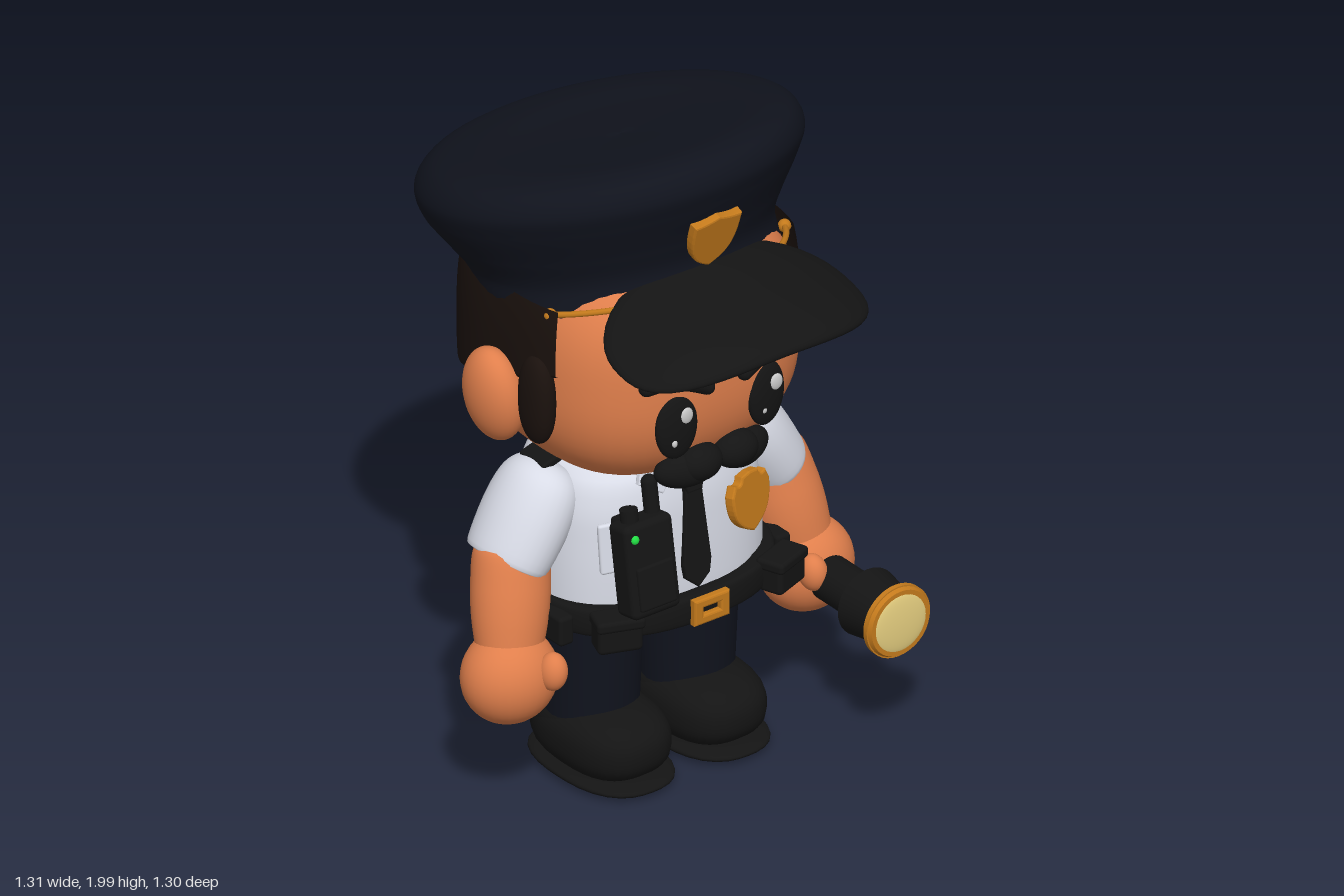
import * as THREE from 'three';
import { mergeVertices } from 'three/addons/utils/BufferGeometryUtils.js';
import { RoundedBoxGeometry } from 'three/addons/geometries/RoundedBoxGeometry.js';
import { ParametricGeometry } from 'three/addons/geometries/ParametricGeometry.js';

const mat = (color, side = THREE.FrontSide) => new THREE.MeshStandardMaterial({ color, side });
const skin = mat(0xe07f4c), white = mat(0xd8dbe6), black = mat(0x141414), navy = mat(0x10131d);
const gold = mat(0xc47a1c), lensMat = mat(0xe6cf80), green = mat(0x22dd44), shine = mat(0xe8e8e8);
const capMat = mat(0x10131d, THREE.DoubleSide), hairMat = mat(0x1a110d, THREE.DoubleSide);
const V = (x, y, z) => new THREE.Vector3(x, y, z);

// Move every vertex by a rule, then smooth the normals across the seam
function reshape(geo, rule) {
  geo.deleteAttribute('uv');
  geo.deleteAttribute('normal');
  const p = geo.attributes.position, v = new THREE.Vector3();
  for (let i = 0; i < p.count; i++) {
    rule(v.fromBufferAttribute(p, i));
    p.setXYZ(i, v.x, v.y, v.z);
  }
  const out = mergeVertices(geo, 1e-5);
  out.computeVertexNormals();
  return out;
}

// Rounded box-like ball; n = 2 is an ellipsoid
function blob(rx, ry, rz, n = 2, seg = 32) {
  return reshape(new THREE.SphereGeometry(1, seg, Math.round(seg * 0.7)), v => {
    const k = (Math.abs(v.x) ** n + Math.abs(v.y) ** n + Math.abs(v.z) ** n) ** (-1 / n);
    v.multiplyScalar(k).multiply(V(rx, ry, rz));
  });
}

// Lathe with a squarish outline
function squareLathe(points, sx, sz, n) {
  const curve = new THREE.SplineCurve(points.map(p => new THREE.Vector2(...p)));
  return reshape(new THREE.LatheGeometry(curve.getPoints(24), 56), v => {
    const r = Math.hypot(v.x, v.z) || 1;
    const k = (Math.abs(v.x / r) ** n + Math.abs(v.z / r) ** n) ** (-1 / n);
    v.x *= k * sx;
    v.z *= k * sz;
  });
}

// Turned part whose axis starts at a and points to b
function limb(profile, a, b, zScale, material) {
  const curve = new THREE.SplineCurve(profile.map(p => new THREE.Vector2(...p)));
  const m = new THREE.Mesh(new THREE.LatheGeometry(curve.getPoints(24), 32), material);
  m.position.copy(a);
  m.quaternion.setFromUnitVectors(V(0, 1, 0), b.clone().sub(a).normalize());
  m.scale.z = zScale;
  return m;
}

function extrude(shape, depth, bevel = 0.006) {
  return new THREE.ExtrudeGeometry(shape, { depth, bevelEnabled: true, bevelSize: bevel, bevelThickness: bevel, bevelSegments: 2, curveSegments: 10 });
}

// Shield outline; scallop cuts rounded notches into the upper corners
function shield(w, h, scallop) {
  const s = new THREE.Shape();
  s.moveTo(0, h);
  if (scallop) {
    s.lineTo(w * 0.4, h * 0.95).quadraticCurveTo(w * 0.5, h * 0.6, w * 0.85, h * 0.75);
    s.lineTo(w, h * 0.45);
  } else s.quadraticCurveTo(w * 0.5, h * 0.85, w, h * 0.85);
  s.bezierCurveTo(w, -h * 0.4, w * 0.7, -h * 0.7, 0, -h);
  s.bezierCurveTo(-w * 0.7, -h * 0.7, -w, -h * 0.4, -w, h * (scallop ? 0.45 : 0.85));
  if (scallop) {
    s.lineTo(-w * 0.85, h * 0.75).quadraticCurveTo(-w * 0.5, h * 0.6, -w * 0.4, h * 0.95);
    s.lineTo(0, h);
  } else s.quadraticCurveTo(-w * 0.5, h * 0.85, 0, h);
  return s;
}
const polygon = pts => new THREE.Shape(pts.map(p => new THREE.Vector2(...p)));

// Front surface of the head
const HEAD = { y: 1.33, z: -0.03, rx: 0.43, ry: 0.385, rz: 0.4, n: 2.6 };
const faceZ = (x, y) => HEAD.z + HEAD.rz *
  Math.max(0, 1 - Math.abs(x / HEAD.rx) ** HEAD.n - Math.abs((y - HEAD.y) / HEAD.ry) ** HEAD.n) ** (1 / HEAD.n);

export function createModel() {
  const root = new THREE.Group();
  const place = (name, m, x, y, z) => {
    m.name = name;
    if (x !== undefined) m.position.set(x, y, z);
    root.add(m);
    return m;
  };
  const add = (name, geo, material, x = 0, y = 0, z = 0) => place(name, new THREE.Mesh(geo, material), x, y, z);

  // Head and hair
  add('head', blob(HEAD.rx, HEAD.ry, HEAD.rz, HEAD.n, 56), skin, 0, HEAD.y, HEAD.z);
  add('hair', new ParametricGeometry((u, v, t) => {
    const a = (u - 0.5) * 4.05, s = Math.sin(a), c = Math.cos(a);
    const sq = (Math.abs(s) ** 2.5 + Math.abs(c) ** 2.5) ** (-1 / 2.5);
    const low = 1.07 + (0.4 - 0.05 - 0.45 * c * sq) * 0.42 + 0.04;
    const y = low + (1.57 - low) * v;
    const k = (1 - Math.abs((y - HEAD.y) / 0.5) ** 3) ** (1 / 3);
    const tuck = 1 - 0.22 * (1 - Math.min(1, v / 0.16)) ** 2;
    t.set(-0.45 * s * sq * k * tuck, y, -0.05 - 0.45 * c * sq * k * tuck);
  }, 56, 30), hairMat);

  // Face
  for (const s of [-1, 1]) {
    const ear = add('ear', blob(0.075, 0.145, 0.105), skin, s * 0.465, 1.24, -0.065);
    ear.rotation.z = -s * 0.12;
    add('sideburn', blob(0.04, 0.135, 0.065, 2.3), hairMat, s * 0.435, 1.28, 0.09);
    const x = s * 0.155, z = faceZ(x, 1.215);
    add('eye', blob(0.066, 0.1, 0.025), black, x, 1.215, z).rotation.y = s * 0.12;
    add('eyeHighlight', blob(0.021, 0.025, 0.008, 2, 16), shine, x + 0.02, 1.252, z + 0.022);
    add('eyeGlint', blob(0.009, 0.011, 0.006, 2, 12), shine, x - 0.02, 1.175, z + 0.02);
    const brow = [[0.065, 1.32], [0.12, 1.347], [0.18, 1.367], [0.245, 1.358]].map(([bx, by]) => V(s * bx, by, faceZ(bx, by) + 0.005));
    add('eyebrow', new THREE.TubeGeometry(new THREE.CatmullRomCurve3(brow), 20, 0.023, 10), black);
    for (const e of [brow[0], brow[3]]) add('eyebrowEnd', blob(0.023, 0.023, 0.023, 2, 14), black, e.x, e.y, e.z);
    add('moustacheLobe', blob(0.07, 0.055, 0.055), black, s * 0.062, 1.065, 0.335);
    add('moustacheTip', blob(0.09, 0.053, 0.045), black, s * 0.105, 1.05, 0.325).rotation.y = s * 0.3;
  }

  // Cap crown: rings given as front z, front y, back z, back y, half width
  const rings = [[0.33, 1.55, -0.49, 1.48, 0.44], [0.285, 1.65, -0.5, 1.5, 0.448], [0.3, 1.74, -0.56, 1.55, 0.49],
    [0.34, 1.86, -0.635, 1.605, 0.54], [0.355, 1.925, -0.655, 1.67, 0.555], [0.335, 1.975, -0.62, 1.735, 0.525],
    [0.27, 1.993, -0.5, 1.79, 0.43], [0.12, 1.955, -0.32, 1.83, 0.26], [-0.099, 1.885, -0.101, 1.885, 0.001]];
  const front = new THREE.CatmullRomCurve3(rings.map(r => V(r[4], r[1], r[0])));
  const back = new THREE.CatmullRomCurve3(rings.map(r => V(r[4], r[3], r[2])));
  add('capCrown', new ParametricGeometry((u, v, t) => {
    const a = u * Math.PI * 2, f = front.getPoint(v), b = back.getPoint(v), w = (1 + Math.cos(a)) / 2;
    t.set(f.x * Math.sin(a), b.y + (f.y - b.y) * w, b.z + (f.z - b.z) * w);
  }, 64, 40), capMat);

  // Visor, drooping at the sides and toward the tip
  add('capVisor', reshape(blob(0.405, 0.04, 0.23, 2.4, 48), v => { v.y -= 0.24 * v.z + 0.5 * v.x * v.x; }), black, 0, 1.58, 0.42);

  // Cap strap, buttons and shield
  const strap = [];
  for (let i = 0; i <= 16; i++) {
    const a = (i / 8 - 1) * 1.1;
    strap.push(V(0.455 * Math.sin(a), 1.545 + 0.11 * (Math.cos(a) - 0.45), -0.08 + 0.42 * Math.cos(a)));
  }
  add('capStrap', new THREE.TubeGeometry(new THREE.CatmullRomCurve3(strap), 40, 0.009, 8), gold);
  for (const e of [strap[0], strap[16]]) add('strapButton', blob(0.019, 0.019, 0.019, 2, 16), gold, e.x, e.y, e.z);
  add('capShield', extrude(shield(0.075, 0.085, false), 0.02), gold, 0, 1.74, 0.298).rotation.x = 0.29;

  // Shirt, hips and belt
  add('shirt', squareLathe([[0.9, 0.5], [0.99, 0.56], [1, 0.65], [0.98, 0.78], [0.93, 0.9], [0.78, 0.985], [0.3, 1.02]], 0.355, 0.265, 2.6), white, 0, 0, -0.03);
  add('hips', blob(0.335, 0.1, 0.27, 2.7), navy, 0, 0.55, -0.02);
  add('belt', squareLathe([[0.86, 0.525], [0.97, 0.525], [1, 0.545], [1, 0.59], [0.97, 0.61], [0.86, 0.61]], 0.375, 0.305, 2.4), black, 0, 0, -0.008);
  const buckle = polygon([[-0.055, -0.033], [0.055, -0.033], [0.055, 0.033], [-0.055, 0.033]]);
  buckle.holes.push(polygon([[-0.036, -0.018], [-0.036, 0.018], [0.036, 0.018], [0.036, -0.018]]));
  add('buckle', extrude(buckle, 0.015), gold, 0, 0.568, 0.295);
  for (const s of [-1, 1]) {
    add('pouch', new RoundedBoxGeometry(0.13, 0.095, 0.08, 3, 0.015), black, s * 0.285, 0.565, 0.255).rotation.y = s * 0.35;
    add('pouchFlap', new RoundedBoxGeometry(0.14, 0.035, 0.09, 3, 0.012), black, s * 0.285, 0.605, 0.257).rotation.y = s * 0.35;
    add('sidePouch', new RoundedBoxGeometry(0.05, 0.09, 0.12, 3, 0.012), black, s * 0.375, 0.55, 0.09);
  }

  // Collar, tie, chest badge and pocket
  for (const s of [-1, 1]) {
    const flap = polygon([[s * 0.01, 0.06], [s * 0.15, 0.06], [s * 0.165, 0.01], [s * 0.095, -0.035]]);
    add('collarFlap', extrude(flap, 0.012, 0.004), white, 0, 0.955, 0.192).rotation.x = -0.25;
    add('epaulette', new RoundedBoxGeometry(0.07, 0.025, 0.11, 2, 0.008), black, s * 0.325, 1.007, -0.035).rotation.z = -s * 0.3;
  }
  add('tie', extrude(polygon([[-0.022, 0.3], [0.022, 0.3], [0.042, 0.07], [0.035, 0.03], [0, 0], [-0.035, 0.03], [-0.042, 0.07]]), 0.015), black, 0, 0.615, 0.235).rotation.x = -0.08;
  add('tieKnot', extrude(polygon([[-0.035, 0.055], [0.035, 0.055], [0.02, 0], [-0.02, 0]]), 0.025), black, 0, 0.905, 0.208).rotation.x = -0.15;
  add('chestBadge', extrude(shield(0.08, 0.083, true), 0.02), gold, 0.195, 0.797, 0.207).rotation.set(-0.12, 0.3, 0);
  add('pocket', new RoundedBoxGeometry(0.17, 0.15, 0.02, 2, 0.008), white, -0.21, 0.795, 0.205).rotation.set(-0.1, -0.3, 0);

  // Chest radio
  const radio = place('radio', new THREE.Group(), -0.228, 0.785, 0.305);
  radio.rotation.x = -0.16;
  const part = (name, geo, material, x, y, z) => {
    const m = new THREE.Mesh(geo, material);
    m.name = name;
    m.position.set(x, y, z);
    radio.add(m);
    return m;
  };
  part('radioBody', new RoundedBoxGeometry(0.165, 0.28, 0.09, 4, 0.02), black, 0, 0, 0);
  part('radioGrille', new RoundedBoxGeometry(0.125, 0.13, 0.02, 3, 0.008), black, 0, -0.05, 0.045);
  part('radioClip', new RoundedBoxGeometry(0.08, 0.2, 0.06, 3, 0.012), black, 0, 0.03, -0.06);
  part('radioAntenna', new THREE.CapsuleGeometry(0.023, 0.12, 6, 16), black, 0.05, 0.165, -0.01);
  part('radioKnob', new THREE.CylinderGeometry(0.026, 0.026, 0.05, 16), black, -0.035, 0.15, 0);
  part('radioLight', blob(0.013, 0.013, 0.01, 2, 14), green, -0.055, 0.1, 0.045);

  // Arms and legs
  for (const s of [-1, 1]) {
    place('sleeve', limb([[0.001, -0.06], [0.06, -0.05], [0.1, 0], [0.113, 0.1], [0.106, 0.235], [0.09, 0.24]],
      V(s * 0.325, 0.935, -0.03), V(s * 0.455, 0.73, -0.025), 1.22, white));
    place('forearm', limb([[0.06, -0.02], [0.1, 0], [0.107, 0.1], [0.103, 0.19], [0.09, 0.28]],
      V(s * 0.44, 0.76, -0.02), V(s * 0.505, 0.48, 0.055), 1.08, skin));
    add('hand', blob(0.142, 0.14, 0.127), skin, s * 0.512, 0.425, 0.065);
    add('thumb', blob(0.04, 0.056, 0.045), skin, s * 0.45, 0.465, 0.18).rotation.z = s * 0.1;

    add('leg', new THREE.CylinderGeometry(0.15, 0.133, 0.4, 32), navy, s * 0.165, 0.33, -0.02);
    add('shoe', blob(0.152, 0.105, 0.22, 2.6), black, s * 0.165, 0.12, 0.025);
    add('shoeCollar', blob(0.143, 0.1, 0.15, 2.6), black, s * 0.165, 0.14, -0.03);
    add('sole', blob(0.156, 0.023, 0.236, 2.5), black, s * 0.165, 0.025, 0.028);
  }

  // Flashlight held in the left hand, pointing forward
  const torch = place('flashlight', new THREE.Group(), 0.512, 0.425, 0);
  torch.rotation.x = Math.PI / 2;
  for (const [name, rTop, rBase, a, b, m] of [
    ['flashlightBody', 0.066, 0.066, 0.05, 0.37, black], ['flashlightHead', 0.08, 0.102, 0.345, 0.475, black],
    ['flashlightRim', 0.11, 0.11, 0.47, 0.485, gold], ['flashlightLip', 0.1, 0.106, 0.485, 0.496, gold]]) {
    const tube = new THREE.Mesh(new THREE.CylinderGeometry(rTop, rBase, b - a, 36), m);
    tube.name = name;
    tube.position.y = (a + b) / 2;
    torch.add(tube);
  }
  const lens = new THREE.Mesh(blob(0.092, 0.012, 0.092), lensMat);
  lens.name = 'flashlightLens';
  lens.position.y = 0.492;
  torch.add(lens);
  return root;
}
